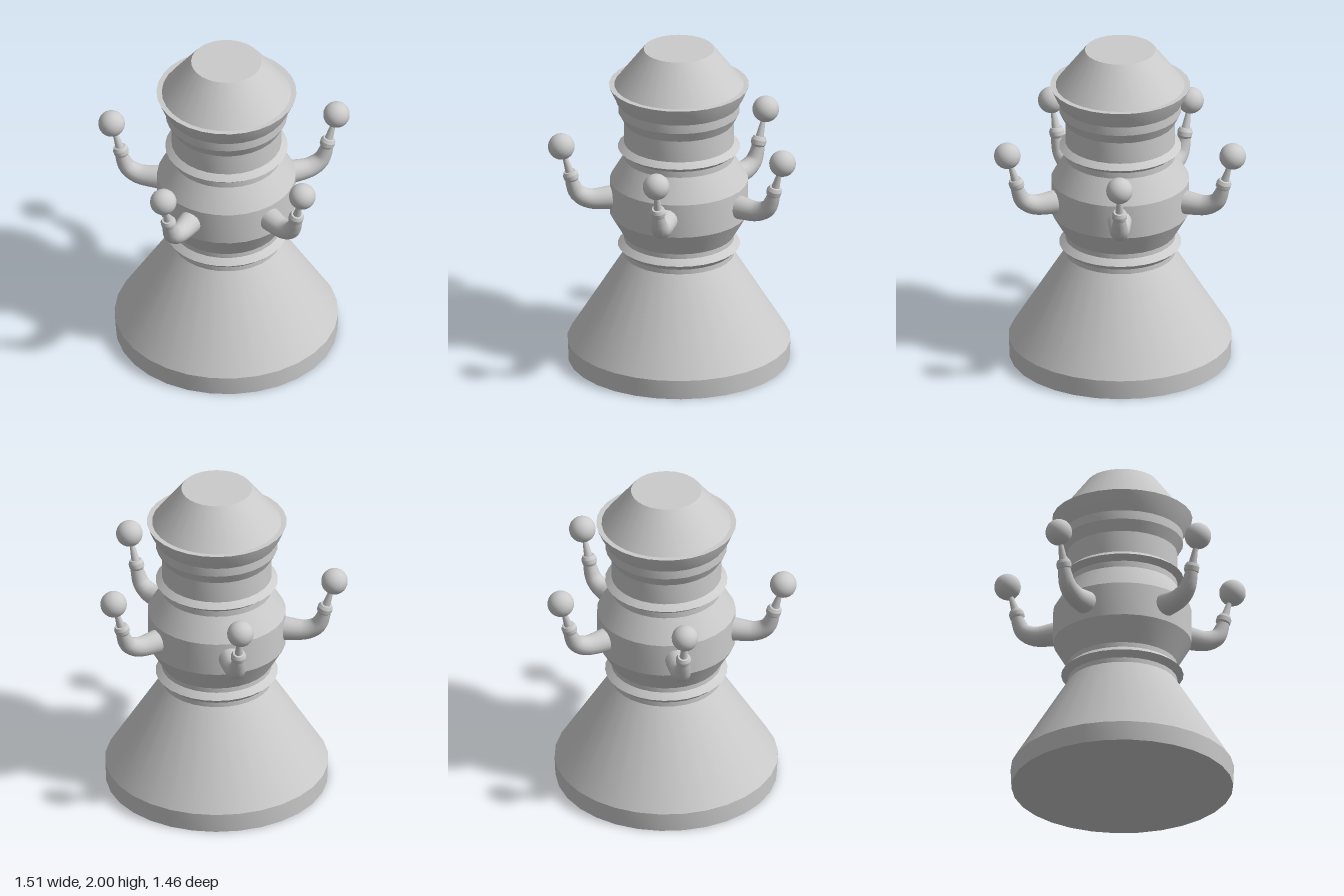
import * as THREE from 'three';
import { toCreasedNormals } from 'three/addons/utils/BufferGeometryUtils.js';

const material = new THREE.MeshStandardMaterial({ color: 0xcccccc });

function mesh(name, geometry, parent) {
  const m = new THREE.Mesh(geometry, material);
  m.name = name;
  parent.add(m);
  return m;
}

// Turned part from [radius, height] pairs, listed bottom to top
function turned(profile, sides) {
  const points = profile.map(([r, y]) => new THREE.Vector2(r, y));
  return toCreasedNormals(new THREE.LatheGeometry(points, sides), 0.4);
}

// Round tube along a curve whose radius changes evenly along a list of radii
function taperedTube(curve, radii, steps, sides) {
  const geometry = new THREE.TubeGeometry(curve, steps, 1, sides);
  const pos = geometry.attributes.position;
  const v = new THREE.Vector3();
  for (let i = 0; i <= steps; i++) {
    const centre = curve.getPointAt(i / steps);
    const t = (i / steps) * (radii.length - 1);
    const k = Math.min(Math.floor(t), radii.length - 2);
    const radius = THREE.MathUtils.lerp(radii[k], radii[k + 1], t - k);
    for (let j = 0; j <= sides; j++) {
      const n = i * (sides + 1) + j;
      v.fromBufferAttribute(pos, n).sub(centre).multiplyScalar(radius).add(centre);
      pos.setXYZ(n, v.x, v.y, v.z);
    }
  }
  return geometry;
}

// One upswept arm pointing along +z, ending in a collar, stem and ball
function createArm() {
  const arm = new THREE.Group();
  arm.name = 'arm';
  const path = new THREE.CatmullRomCurve3([
    [0.34, 1.06], [0.42, 1.053], [0.54, 1.053], [0.61, 1.09], [0.64, 1.15], [0.655, 1.205],
  ].map(([r, y]) => new THREE.Vector3(0, y, r)));
  mesh('armTube', taperedTube(path, [0.077, 0.071, 0.063, 0.056, 0.046, 0.035], 20, 16), arm);

  // Tip leans slightly outwards
  const tip = new THREE.Group();
  tip.name = 'armTip';
  tip.position.set(0, 1.205, 0.652);
  tip.rotation.x = Math.atan2(0.058, 0.195);
  arm.add(tip);
  mesh('collar', turned([
    [0, -0.035], [0.032, -0.035], [0.045, -0.015], [0.046, 0.012], [0.036, 0.033], [0, 0.035],
  ], 16), tip);
  mesh('stem', new THREE.CylinderGeometry(0.012, 0.027, 0.14, 12), tip).position.y = 0.085;
  mesh('ball', new THREE.SphereGeometry(0.08, 24, 16), tip).position.y = 0.203;
  return arm;
}

export function createModel() {
  const model = new THREE.Group();
  model.name = 'towerWithArms';
  const axis = new THREE.Group();
  axis.name = 'tower';
  axis.position.z = -0.06;
  model.add(axis);

  // Flared base, lower ring, belly, upper ring, neck and cap in one turned profile
  mesh('body', turned([
    [0, 0], [0.665, 0], [0.67, 0.12], [0.33, 0.67],
    [0.33, 0.70], [0.367, 0.735], [0.33, 0.77],
    [0.33, 0.80], [0.415, 0.945], [0.415, 1.155], [0.33, 1.30],
    [0.33, 1.338], [0.367, 1.368], [0.33, 1.40],
    [0.33, 1.535], [0.365, 1.60], [0.365, 1.655],
    [0.395, 1.71], [0.42, 1.77], [0.388, 1.77], [0.212, 2], [0, 2],
  ], 30), axis);

  // Five arms evenly spaced, the first one facing front
  for (let i = 0; i < 5; i++) {
    const arm = createArm();
    arm.rotation.y = (i * Math.PI * 2) / 5;
    axis.add(arm);
  }
  return model;
}
